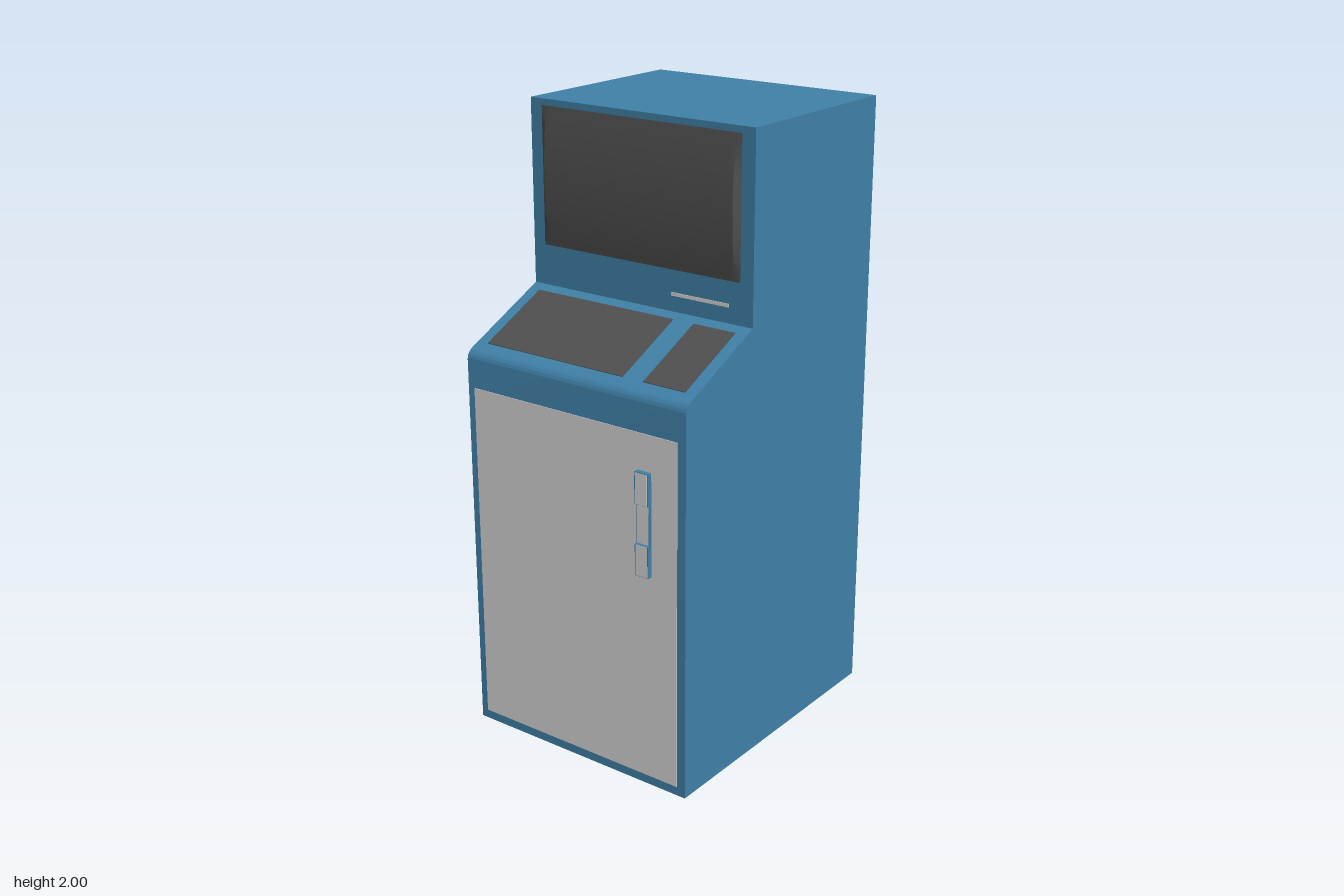
import * as THREE from 'three';
import { toCreasedNormals } from 'three/addons/utils/BufferGeometryUtils.js';

const WIDTH = 0.83;
const mat = (name, color) => {
  const m = new THREE.MeshStandardMaterial({ color });
  m.name = name;
  return m;
};

// Extrudes a side profile (z, y) across x, from x0 to x1
function sideExtrude(shape, x0, x1) {
  const g = new THREE.ExtrudeGeometry(shape, { depth: x1 - x0, bevelEnabled: false, curveSegments: 8 });
  g.rotateY(-Math.PI / 2).translate(x1, 0, 0);
  return toCreasedNormals(g, 0.4);
}

export function createModel() {
  const model = new THREE.Group();
  const blue = mat('cabinet blue', 0x4080a8);
  const grey = mat('light grey', 0xd6d6d6);
  const dark = mat('dark grey', 0x505050);

  const add = (name, geometry, material, parent = model) => {
    const mesh = new THREE.Mesh(geometry, material);
    mesh.name = name;
    parent.add(mesh);
    return mesh;
  };
  // Thin plate standing on a front face at depth z
  const plate = (name, x0, x1, y0, y1, z, material, parent = model, t = 0.004) => {
    const mesh = add(name, new THREE.BoxGeometry(x1 - x0, y1 - y0, t), material, parent);
    mesh.position.set((x0 + x1) / 2, (y0 + y1) / 2, z);
    return mesh;
  };

  // Cabinet with a sloped console and a rounded front lip
  const body = new THREE.Shape();
  body.moveTo(-0.5, 0);
  body.lineTo(0.48, 0);
  body.lineTo(0.48, 1.24);
  body.quadraticCurveTo(0.48, 1.265, 0.457, 1.276);
  body.lineTo(0.155, 1.415);
  body.lineTo(0.155, 2);
  body.lineTo(-0.5, 2);
  body.closePath();
  add('cabinet', sideExtrude(body, -WIDTH / 2, WIDTH / 2), blue);

  // Door
  plate('door', -0.39, 0.385, 0.03, 1.155, 0.48, grey);

  // Handle, thinner at the grip, with pale front faces
  const handle = new THREE.Group();
  handle.name = 'handle';
  model.add(handle);
  const grip = new THREE.Shape();
  [[0.475, 0.71], [0.499, 0.71], [0.499, 0.81], [0.492, 0.815], [0.492, 0.935],
    [0.499, 0.94], [0.499, 1.04], [0.475, 1.04]].forEach(([z, y], i) => (i ? grip.lineTo(z, y) : grip.moveTo(z, y)));
  add('handleBody', sideExtrude(grip, 0.244, 0.293), blue, handle);
  [[0.712, 0.81, 0.499], [0.812, 0.938, 0.492], [0.94, 1.038, 0.499]].forEach(([y0, y1, z]) =>
    plate('handleFace', 0.247, 0.29, y0, y1, z, grey, handle, 0.002));

  // Console panels lying on the slope
  const slope = Math.atan2(0.139, 0.302);
  [['mainPanel', -0.375, 0.15], ['sidePanel', 0.225, 0.375]].forEach(([name, x0, x1]) => {
    const z = 0.3075;
    const panel = add(name, new THREE.BoxGeometry(x1 - x0, 0.004, 0.245 / Math.cos(slope)), dark);
    panel.position.set((x0 + x1) / 2, 1.415 - (z - 0.155) * Math.tan(slope), z);
    panel.rotation.x = slope;
  });

  // Screen, bowed from top to bottom with tapered side edges
  const screen = new THREE.PlaneGeometry(0.74, 0.435, 40, 16);
  const p = screen.attributes.position;
  for (let i = 0; i < p.count; i++) {
    const v = p.getY(i) / 0.2175;
    const edge = Math.min(1, (0.37 - Math.abs(p.getX(i))) / 0.0185);
    p.setZ(i, 0.002 + 0.0175 * (1 - v * v) * edge);
  }
  add('screen', toCreasedNormals(screen, 0.4), dark).position.set(0, 1.7625, 0.155);

  // Narrow strip below the screen
  plate('slotStrip', 0.12, 0.33, 1.464, 1.475, 0.155, grey);

  return model;
}
